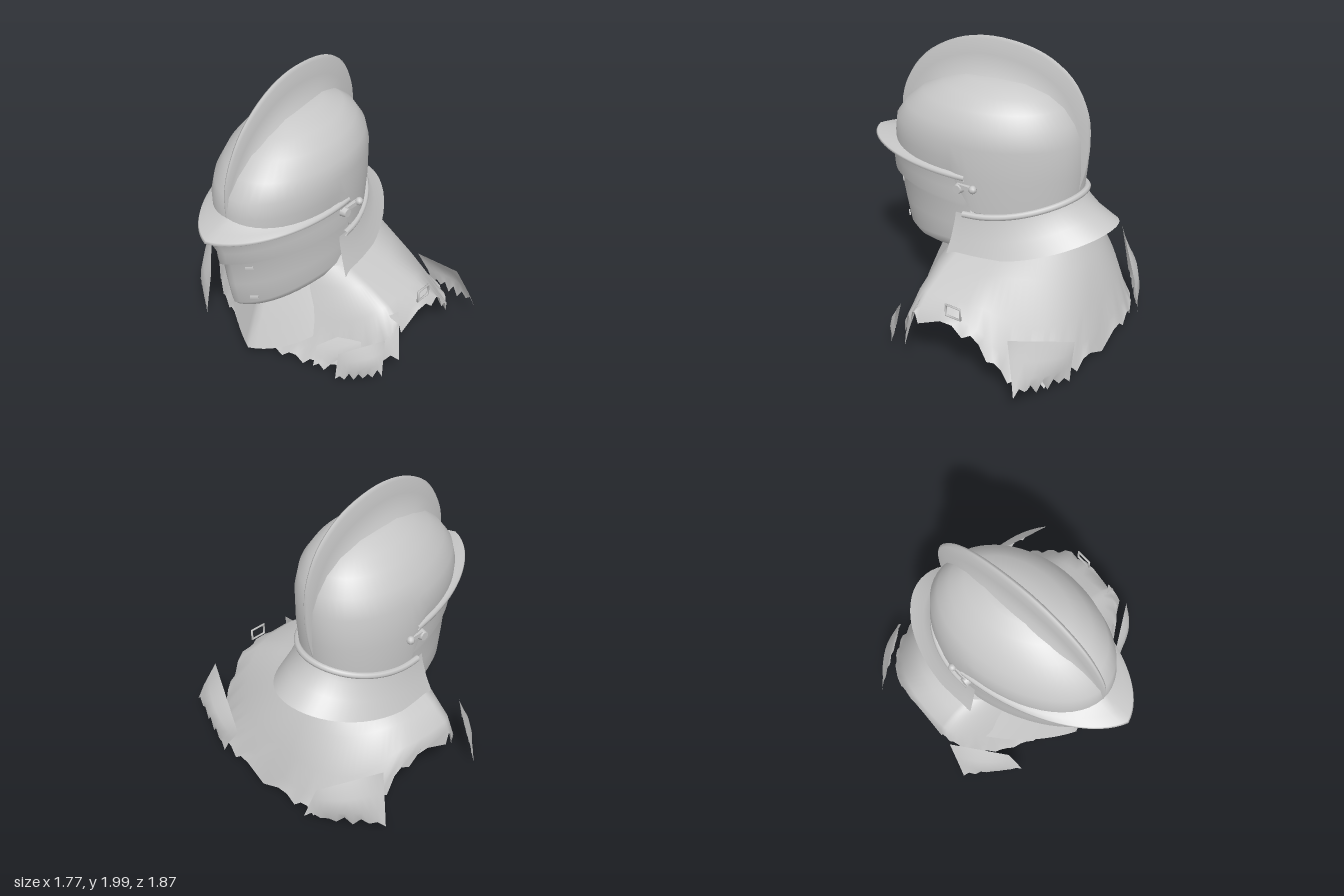
import * as THREE from 'three';
import { mergeVertices } from 'three/addons/utils/BufferGeometryUtils.js';

const { sin, cos, PI, abs, sign, min } = Math;
const { smoothstep } = THREE.MathUtils;
const steel = new THREE.MeshStandardMaterial({ color: 0xc8c8c8, side: THREE.DoubleSide });
steel.name = 'steel';

let seed = 7;
const rnd = () => ((seed = (seed * 16807) % 2147483647) / 2147483647);

// the head is turned slightly, so its centre line runs diagonally
const centre = (z) => -0.11 + 0.12 * z;
const head = (x, y, z) => [x + centre(z), y, z];

// smooth surface from a grid of points fn(u, row)
function surface(name, nu, rows, fn) {
  const pos = [], idx = [];
  for (let j = 0; j < rows; j++)
    for (let i = 0; i <= nu; i++) pos.push(...fn(i / nu, j));
  for (let j = 0; j < rows - 1; j++)
    for (let i = 0; i < nu; i++) {
      const a = j * (nu + 1) + i, b = a + nu + 1;
      idx.push(a, a + 1, b, b, a + 1, b + 1);
    }
  let g = new THREE.BufferGeometry();
  g.setAttribute('position', new THREE.Float32BufferAttribute(pos, 3));
  g.setIndex(idx);
  g = mergeVertices(g, 1e-4);
  g.computeVertexNormals();
  return part(name, g);
}

function part(name, geometry, x = 0, y = 0, z = 0) {
  const m = new THREE.Mesh(geometry, steel);
  m.name = name;
  m.position.set(x, y, z);
  return m;
}

// front half outline: k sharpens the central ridge
function frontPoint(a, w, f, z0, k) {
  const s = sin(a);
  return [w * s, z0 + (f - z0) * ((1 - k) * cos(a) + k * (1 - abs(s)))];
}

// plate around the front; rows are [side y, centre y, half width, front z]
function frontPlate(name, rows, z0, k) {
  return surface(name, 40, rows.length, (u, j) => {
    const a = (u - 0.5) * PI, [ys, yc, w, f] = rows[j];
    const [x, z] = frontPoint(a, w, f, z0, k);
    return head(x, yc + (ys - yc) * sin(a) ** 2, z);
  });
}

export function createModel() {
  const g = new THREE.Group();
  g.name = 'helmet';

  // skull: rows are [front y, back y, half width, front z, back z, sideways lean]
  const skull = [
    [1.19, 0.95, 0.425, 0.73, 0.57, 0], [1.3, 1.18, 0.44, 0.73, 0.59, 0],
    [1.41, 1.4, 0.43, 0.71, 0.585, 0.01], [1.52, 1.52, 0.395, 0.63, 0.54, 0.025],
    [1.62, 1.62, 0.32, 0.51, 0.47, 0.03], [1.69, 1.69, 0.235, 0.37, 0.37, 0.03],
    [1.74, 1.74, 0.13, 0.22, 0.22, 0.015], [1.76, 1.76, 0, 0, 0, 0],
  ];
  g.add(surface('skull', 56, skull.length, (u, j) => {
    const a = u * 2 * PI, [yf, yb, w, f, b, lean] = skull[j], c = cos(a);
    const t = smoothstep(c, -0.1, 0.12);
    return head(w * sin(a) + lean, yb + (yf - yb) * t, c * (c > 0 ? f : b));
  }));

  // comb: tapered fin following the side outline
  const comb = new THREE.CatmullRomCurve3([
    [0.73, 1.22], [0.735, 1.45], [0.68, 1.62], [0.55, 1.8], [0.33, 1.94], [0.1, 2],
    [-0.15, 1.99], [-0.35, 1.93], [-0.52, 1.8], [-0.62, 1.6], [-0.64, 1.4],
    [-0.62, 1.2], [-0.58, 1.05],
  ].map(([z, y]) => new THREE.Vector3(0, y, z)));
  const section = [[-1, 1], [-0.5, 0.75], [-0.28, 0.4], [-0.22, 0.06], [0, 0],
    [0.22, 0.06], [0.28, 0.4], [0.5, 0.75], [1, 1]];
  g.add(surface('comb', 44, section.length, (u, j) => {
    const p = comb.getPoint(u), [side, depth] = section[j];
    const d = depth * (0.06 + 0.31 * sin(PI * u));
    const w = 0.025 + 0.075 * sin(PI * min(1, u * 1.05));
    return head(side * w, p.y + (1.2 - p.y) * d, p.z + (0.03 - p.z) * d);
  }));

  // brim with a thin rolled edge
  g.add(frontPlate('brim', [
    [1.21, 1.27, 0.43, 0.73], [1.2, 1.225, 0.445, 0.84], [1.19, 1.215, 0.45, 0.93],
    [1.175, 1.2, 0.45, 0.94], [1.17, 1.185, 0.44, 0.92], [1.18, 1.2, 0.42, 0.73],
  ], -0.02, 0.15));

  // face mask
  g.add(frontPlate('visor', [
    [1.16, 1.145, 0.425, 0.87], [1.08, 1.05, 0.42, 0.82], [1.0, 0.96, 0.425, 0.81],
    [0.97, 0.935, 0.415, 0.765], [0.82, 0.75, 0.41, 0.73], [0.7, 0.57, 0.405, 0.69],
    [0.65, 0.52, 0.39, 0.64], [0.63, 0.49, 0.37, 0.53], [0.62, 0.475, 0.35, 0.4],
  ], -0.05, 0.28));

  // throat plate flaring to a ridged point over the chest
  g.add(frontPlate('gorget', [
    [0.8, 0.5, 0.4, 0.4], [0.69, 0.43, 0.45, 0.43], [0.61, 0.29, 0.54, 0.49],
    [0.5, 0.08, 0.65, 0.575],
  ], -0.06, 0.48));

  // neck guard flaring out behind; rows are [side y, back y, half width, back z]
  const neck = [[0.92, 1.04, 0.42, 0.59], [0.86, 0.97, 0.43, 0.62],
    [0.75, 0.9, 0.46, 0.7], [0.64, 0.83, 0.5, 0.83]];
  g.add(surface('neckGuard', 36, neck.length, (u, j) => {
    const a = (u - 0.5) * PI * 1.06, [ys, yb, w, b] = neck[j];
    return head(w * sin(a), ys + (yb - ys) * cos(a) ** 2, -b * cos(a));
  }));

  // rolled band at the base of the skull
  const band = [];
  for (let i = 0; i <= 16; i++) {
    const a = (i / 16 - 0.5) * PI;
    band.push(new THREE.Vector3(...head(0.425 * sin(a), 0.92 + 0.11 * cos(a) ** 2, -0.595 * cos(a))));
  }
  g.add(part('neckBand', new THREE.TubeGeometry(new THREE.CatmullRomCurve3(band), 40, 0.022, 8)));

  // shoulder mantle with a ragged hem; rows are [half width, front z, back z, drop]
  const mantle = [[0.44, 0.2, 0.58, 0], [0.6, 0.26, 0.7, 0.25],
    [0.75, 0.34, 0.8, 0.6], [0.8, 0.43, 0.86, 0.88], [0.82, 0.48, 0.9, 1]];
  const jags = Array.from({ length: 97 }, (_, i) => (i % 3 ? 0.01 : -0.08) * (0.4 + 0.6 * rnd()));
  jags[96] = jags[0];
  g.add(surface('mantle', 96, mantle.length, (u, j) => {
    const a = u * 2 * PI, [w, f, b, drop] = mantle[j], p = 1 - 0.4 * drop;
    const s = sin(a), c = cos(a), front = c > 0;
    // pointed in front, squared off behind
    const [x, z] = front ? frontPoint(a, w, f, 0, 0.25)
      : [w * sign(s) * abs(s) ** p, -b * abs(c) ** p];
    const k = front ? smoothstep(z, 0, 0.34) : smoothstep(-z, 0.32, 0.74);
    const hem = 0.43 - 0.34 * k, top = front ? 0.68 : 0.68 + 0.06 * c * c;
    const y = top + (hem - top) * drop + (j === 4 ? jags[Math.round(u * 96)] : 0);
    return [x + centre(z) * (1 - drop), y, z];
  }));

  // torn flaps at the shoulder corners: two top corners, two bottom corners
  const flaps = {
    frontRightFlap: [[-0.84, 0.52, 0.13], [-0.56, 0.32, 0.42], [-0.86, 0.07, 0.26], [-0.52, 0.08, 0.51]],
    frontLeftFlap: [[0.79, 0.52, 0.0], [0.38, 0.2, 0.34], [0.87, 0.22, 0.07], [0.4, 0.07, 0.4]],
    frontLeftStrip: [[0.82, 0.4, 0.17], [0.57, 0.24, 0.34], [0.84, 0.16, 0.21], [0.58, 0.06, 0.38]],
    backRightFlap: [[-0.82, 0.5, -0.58], [-0.5, 0.3, -0.86], [-0.89, 0.1, -0.62], [-0.45, 0.08, -0.93]],
    backLeftFlap: [[0.78, 0.46, -0.66], [0.3, 0.25, -0.86], [0.88, 0.16, -0.77], [0.42, 0.06, -0.9]],
  };
  for (const [name, c] of Object.entries(flaps)) {
    const [a, b, d, e] = c.map((p) => new THREE.Vector3(...p));
    g.add(surface(name, 10, 4, (u, j) => {
      const v = j / 3, bulge = 1 + 0.06 * sin(PI * u) * sin(PI * v);
      const p = a.clone().lerp(b, u).lerp(d.clone().lerp(e, u), v);
      const fray = j === 3 ? (Math.round(u * 10) % 2 ? 0.04 : -0.04) * rnd() : 0;
      return [p.x * bulge, p.y + fray, p.z * bulge];
    }));
  }

  // visor pivots on both sides
  for (const side of [-1, 1]) {
    const x = -0.11 + side * 0.44;
    const bolt = part('pivotBolt', new THREE.CylinderGeometry(0.03, 0.04, 0.05, 10), x, 1.11, 0.02);
    bolt.rotation.z = -side * PI / 2;
    g.add(bolt);
    g.add(part('pivotBar', new THREE.BoxGeometry(0.025, 0.03, 0.13), x, 1.13, -0.05));
    g.add(part('pivotKnob', new THREE.SphereGeometry(0.028, 8, 6), x + side * 0.015, 1.14, -0.1));
  }

  // small slotted catches on the visor
  for (const [y, f] of [[0.9, 0.76], [0.635, 0.715]]) {
    const [x, z] = frontPoint(0.31, 0.41, f, -0.05, 0.28);
    const catchPlate = part('visorCatch', new THREE.BoxGeometry(0.055, 0.018, 0.009), x + centre(z), y, z);
    catchPlate.rotation.y = 0.75;
    g.add(catchPlate);
  }

  // square strap buckle on the left shoulder
  const frame = new THREE.TorusGeometry(0.055, 0.008, 6, 4).rotateZ(PI / 4).scale(1.4, 1, 1);
  const buckle = part('strapBuckle', frame, 0.79, 0.52, -0.26);
  buckle.rotation.y = PI / 2;
  g.add(buckle);

  return g;
}
